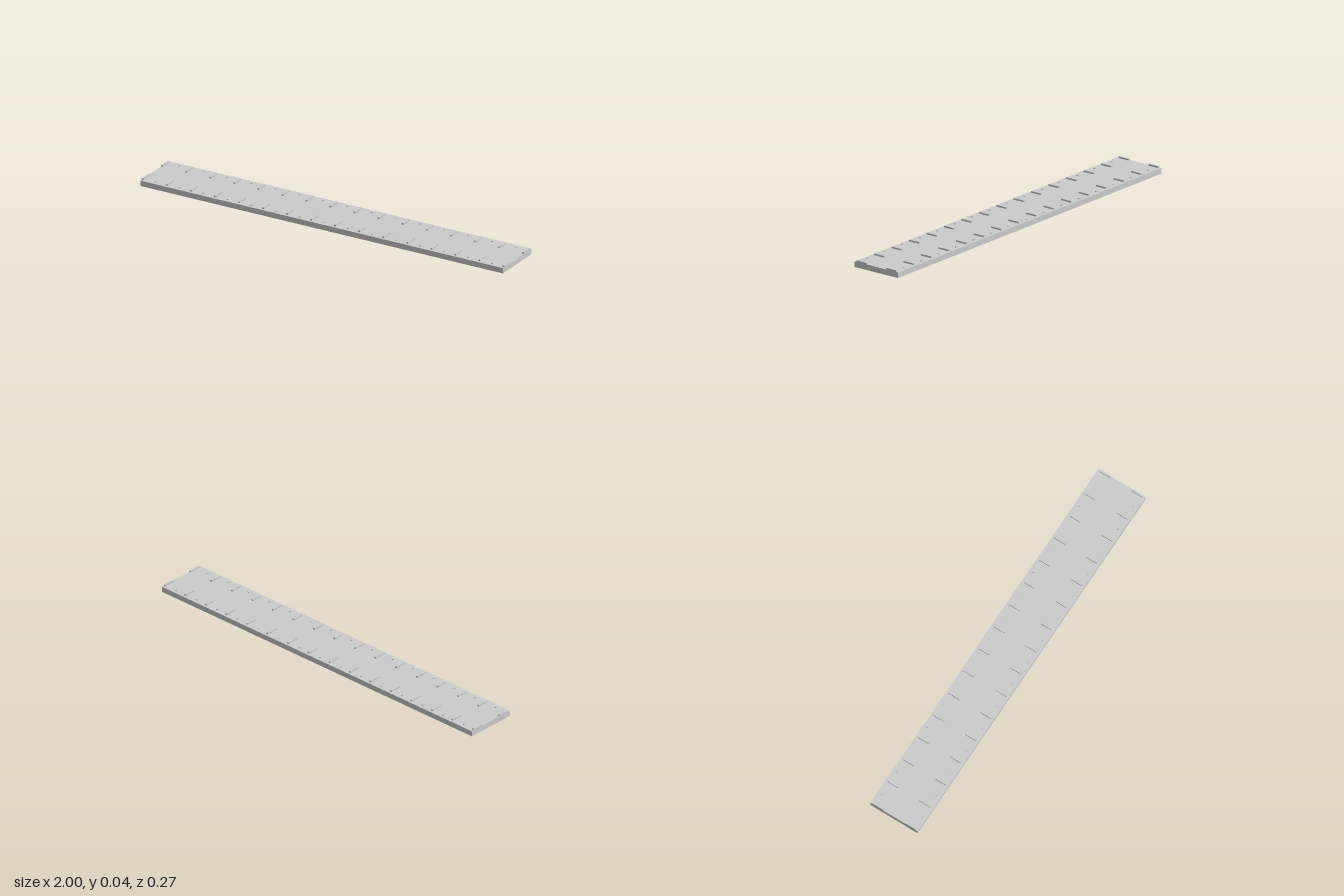
import * as THREE from 'three';

export function createModel() {
  const model = new THREE.Group();
  const material = new THREE.MeshStandardMaterial({ color: 0xcccccc });
  const slabTop = 0.0275, sink = 0.002;

  const add = (name, geometry, x, y, z) => {
    const mesh = new THREE.Mesh(geometry, material);
    mesh.name = name;
    mesh.position.set(x, y, z);
    model.add(mesh);
  };

  // Long base plank
  add('slab', new THREE.BoxGeometry(2, slabTop, 0.266), 0, slabTop / 2, 0);

  // Raised cross ribs along both edges, with a small stud in each gap
  const ribHeight = 0.008 + sink, studHeight = 0.004 + sink;
  const rib = new THREE.BoxGeometry(0.01, ribHeight, 0.06);
  const stud = new THREE.CylinderGeometry(0.006, 0.006, studHeight, 16);
  const count = 16, first = -0.995, step = 1.99 / (count - 1);

  for (const side of [-1, 1]) {
    for (let i = 0; i < count; i++) {
      const x = first + i * step;
      add('rib', rib, x, slabTop - sink + ribHeight / 2, side * 0.09);
      if (i < count - 1) {
        add('stud', stud, x + step / 2, slabTop - sink + studHeight / 2, side * 0.11);
      }
    }
  }
  return model;
}
